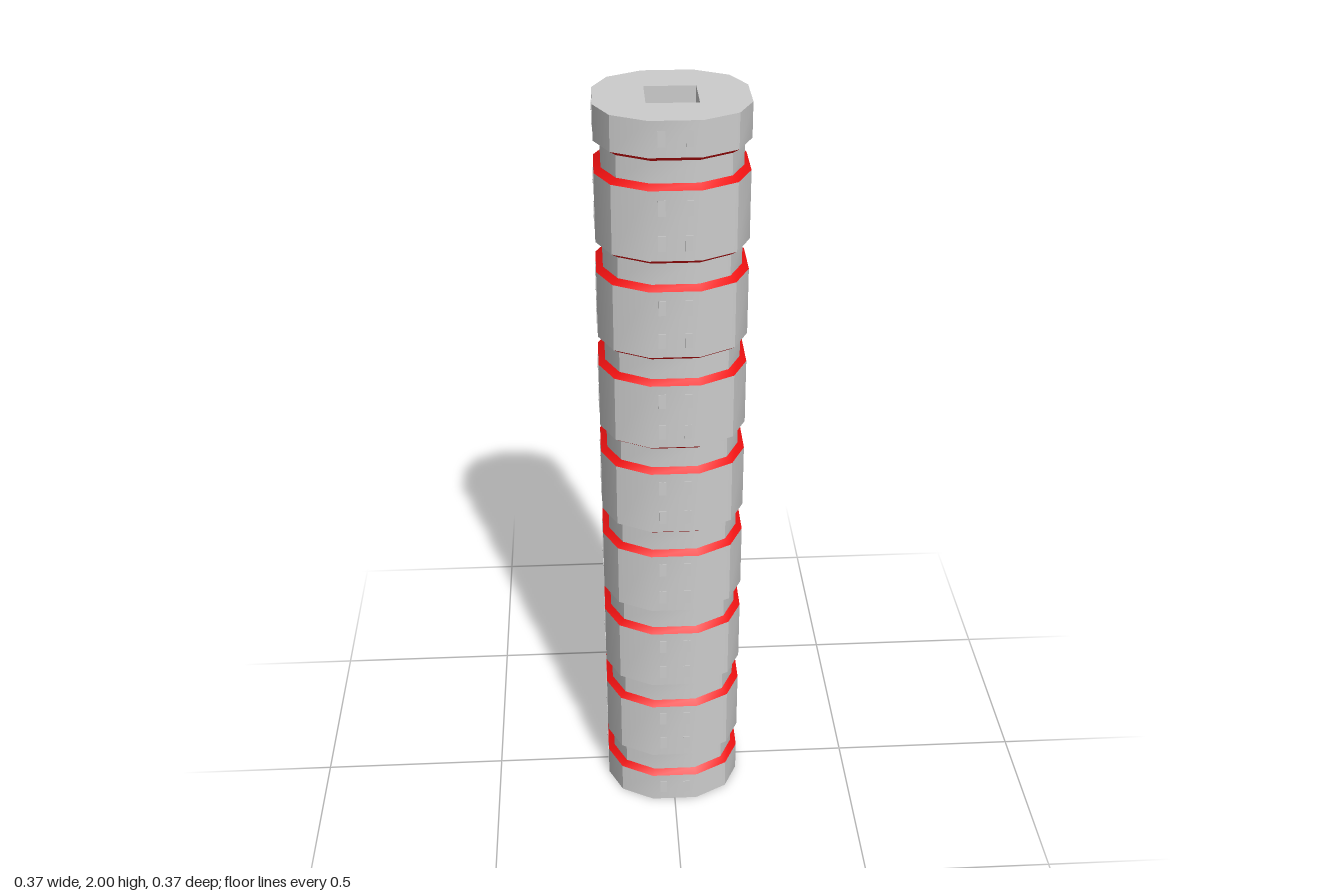
import * as THREE from 'three';
import { toCreasedNormals } from 'three/addons/utils/BufferGeometryUtils.js';

const grey = new THREE.MeshStandardMaterial({ color: 0xcccccc });
const red = new THREE.MeshStandardMaterial({ color: 0xee1111 });

// Twelve-sided outline as [x, z], one quarter rotated/mirrored round
const corners = [[0.062, 0.184], [0.147, 0.138], [0.184, 0.062]];
const outline = [
  ...corners,
  ...corners.map(([x, z]) => [x, -z]).reverse(),
  ...corners.map(([x, z]) => [-x, -z]),
  ...corners.map(([x, z]) => [-x, z]).reverse(),
];
const hole = [[0.062, 0.062], [0.062, -0.062], [-0.062, -0.062], [-0.062, 0.062]];
const NARROW = 0.91;

// Wall between two scaled copies of a ring
function wall(ring, y0, s0, y1, s1, inward = false) {
  const pos = [];
  ring.forEach(([x, z], i) => {
    const [u, w] = ring[(i + 1) % ring.length];
    const a = [x * s0, y0, z * s0], b = [u * s0, y0, w * s0];
    const c = [u * s1, y1, w * s1], d = [x * s1, y1, z * s1];
    pos.push(...(inward ? [a, c, b, a, d, c] : [a, b, c, a, c, d]).flat());
  });
  const g = new THREE.BufferGeometry();
  g.setAttribute('position', new THREE.Float32BufferAttribute(pos, 3));
  return toCreasedNormals(g, THREE.MathUtils.degToRad(32));
}

export function createModel() {
  const model = new THREE.Group();
  const add = (name, geometry, material = grey, parent = model) => {
    const mesh = new THREE.Mesh(geometry, material);
    mesh.name = name;
    parent.add(mesh);
    return mesh;
  };

  // Wide storeys, half height at both ends
  for (let k = 0; k <= 8; k++) {
    const y = k * 0.25;
    add('storey', wall(outline, Math.max(0, y - 0.086), 1, Math.min(2, y + 0.086), 1));
  }

  // Recessed necks with red sloping trims
  for (let k = 0; k < 8; k++) {
    const y = k * 0.25 + 0.125;
    add('lowerTrim', wall(outline, y - 0.039, 1, y - 0.027, NARROW), red);
    add('neck', wall(outline, y - 0.027, NARROW, y + 0.027, NARROW));
    add('upperTrim', wall(outline, y + 0.027, NARROW, y + 0.039, 1), red);
  }

  // Square shaft through the middle and the end faces
  add('shaft', wall(hole, 0, 1, 2, 1, true));
  const shape = new THREE.Shape(outline.map(([x, z]) => new THREE.Vector2(x, z)));
  shape.holes.push(new THREE.Path(hole.map(([x, z]) => new THREE.Vector2(x, z))));
  const cap = new THREE.ShapeGeometry(shape);
  const top = add('topFace', cap);
  top.rotation.x = -Math.PI / 2;
  top.position.y = 2;
  add('bottomFace', cap).rotation.x = Math.PI / 2;

  // Window plates on the four flat sides
  const plate = new THREE.BoxGeometry(0.018, 0.038, 0.006);
  for (let side = 0; side < 4; side++) {
    const windows = new THREE.Group();
    windows.name = 'windows';
    windows.rotation.y = side * Math.PI / 2;
    for (let k = 0; k <= 8; k++) {
      for (const dy of [-0.042, 0.044]) {
        const y = k * 0.25 + dy;
        if (y < 0 || y > 2) continue;
        for (const x of [-0.032, 0.032]) {
          add('window', plate, grey, windows).position.set(x, y, 0.183);
        }
      }
    }
    model.add(windows);
  }
  return model;
}
